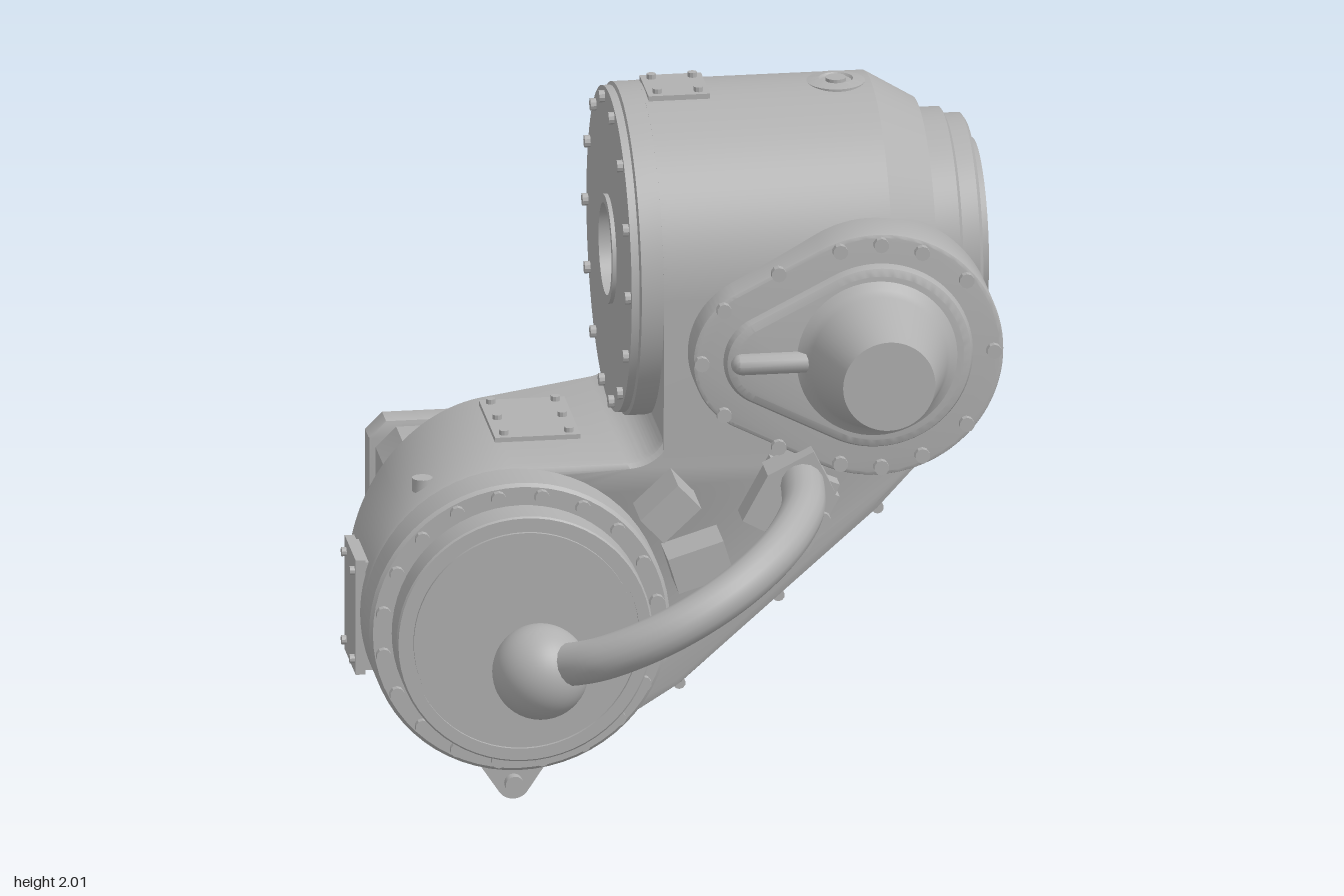
import * as THREE from 'three';
import { toCreasedNormals } from 'three/addons/utils/BufferGeometryUtils.js';

const V = (x, y, z) => new THREE.Vector3(x, y, z);
const metal = new THREE.MeshStandardMaterial({ color: 0xb0b0b0 });
metal.name = 'castGrey';

export function createModel() {
  const root = new THREE.Group();
  root.name = 'robotWrist';

  const add = (name, geo, parent = root, crease = 0.55) => {
    const m = new THREE.Mesh(toCreasedNormals(geo, crease), metal);
    m.name = name;
    parent.add(m);
    return m;
  };
  const aim = (geo, axis) => axis === 'z' ? geo.rotateX(Math.PI / 2) : axis === 'x' ? geo.rotateZ(-Math.PI / 2) : geo;
  const cyl = (name, r, len, axis, p, parent = root, seg = 40) =>
    add(name, aim(new THREE.CylinderGeometry(r, r, len, seg), axis).translate(...p), parent);
  const box = (name, size, p, rotZ = 0) => {
    const m = add(name, new THREE.BoxGeometry(...size));
    m.position.set(...p);
    m.rotation.z = rotZ;
    return m;
  };
  // Turned part: [radius, distance along axis] points
  const lathe = (name, pts, axis, p) =>
    add(name, aim(new THREE.LatheGeometry(pts.map(a => new THREE.Vector2(...a)), 64), axis).translate(...p));
  const polygon = pts => new THREE.Shape(pts.map(a => new THREE.Vector2(...a)));
  const bolt = (x, y, z, parent = root, r = 0.02, h = 0.024) =>
    cyl('bolt', r, h, 'z', [x, y, z + h / 2], parent, 10);
  // Bolted cover lying in a plane given by its origin and two directions
  const cover = (name, pts, bolts, origin, X, Y, depth = 0.014) => {
    const g = new THREE.Group();
    g.name = name;
    add(name + 'Plate', new THREE.ExtrudeGeometry(polygon(pts), { depth: depth + 0.02, bevelEnabled: false }).translate(0, 0, -0.02), g);
    bolts.forEach(b => bolt(b[0], b[1], depth, g, 0.014, 0.014));
    g.matrix.makeBasis(X, Y, X.clone().cross(Y)).setPosition(origin);
    g.matrix.decompose(g.position, g.quaternion, g.scale);
    root.add(g);
  };
  const rect = (x0, y0, x1, y1) => [[x0, y0], [x1, y0], [x1, y1], [x0, y1]];

  // Arm casting: outline with a round motor well, back face sloping away
  const C = [-0.49, 0.57];
  const backZ = (x, y) => -0.326 - 0.336 * y + 0.42 * Math.max(0, -0.12 - x);
  const arm = new THREE.Shape();
  arm.absarc(C[0], C[1], 0.44, Math.PI / 2, Math.PI * 298 / 180, false);
  [[-0.13, 0.24], [0, 0.32], [0.58, 0.83], [0.7, 0.96], [0.71, 1.1], [-0.03, 1.14]].forEach(p => arm.lineTo(...p));
  arm.quadraticCurveTo(-0.05, 1.01, -0.16, 1.01);
  arm.lineTo(-0.3, 1.01);
  const well = new THREE.Path();
  well.absarc(C[0], C[1], 0.385, 0, Math.PI * 2, true);
  arm.holes.push(well);
  const armGeo = new THREE.ExtrudeGeometry(arm, {
    depth: 1, bevelThickness: 0.04, bevelSize: 0.02, bevelOffset: -0.02, bevelSegments: 2, curveSegments: 40,
  });
  const ap = armGeo.attributes.position;
  for (let i = 0; i < ap.count; i++) {
    const t = (ap.getZ(i) + 0.04) / 1.08, b = backZ(ap.getX(i), ap.getY(i));
    ap.setZ(i, b + (0.15 - b) * t);
  }
  add('armCasting', armGeo);

  // Head casting: round top, sloping back, tapered at the output end
  const head = new THREE.Shape();
  head.moveTo(-0.155, 1.02);
  head.lineTo(0.669, 1.02);
  head.absarc(0.32, 1.505, 0.485, -0.325, Math.PI, false);
  const bore = new THREE.Path();
  bore.absarc(0.32, 1.505, 0.14, 0, Math.PI * 2, true);
  head.holes.push(bore);
  const headGeo = new THREE.ExtrudeGeometry(head, { depth: 1, steps: 2, bevelEnabled: false, curveSegments: 40 });
  const hp = headGeo.attributes.position;
  for (let i = 0; i < hp.count; i++) {
    const x = hp.getX(i) - 0.32, y = hp.getY(i) - 1.505, z = hp.getZ(i);
    const k = z > 0.9 && Math.hypot(x, y) > 0.2 ? 0.83 : 1;
    hp.setXYZ(i, 0.32 + x * k, 1.505 + y * k, z < 0.1 ? -0.05 : z < 0.9 ? 0.62 : 0.76);
  }
  add('headCasting', headGeo.rotateY(Math.PI / 2), root, 0.3);

  // Head end cap and stepped output flange, both open along the bore
  const H = [0, 1.505, -0.32];
  lathe('headEndCap', [[0.135, -0.155], [0.16, -0.155], [0.16, -0.143], [0.475, -0.143], [0.475, -0.12], [0.485, -0.115],
    [0.485, -0.04], [0.135, -0.04], [0.135, -0.155]], 'x', H);
  lathe('outputFlange', [[0.135, 0.6], [0.37, 0.7], [0.37, 0.835], [0.35, 0.845], [0.35, 0.895], [0.335, 0.905], [0.285, 0.905],
    [0.275, 0.91], [0.275, 0.93], [0.135, 0.93], [0.135, 0.6]], 'x', H);
  for (let i = 0; i < 14; i++) {
    const a = i / 14 * Math.PI * 2;
    cyl('endCapBolt', 0.018, 0.02, 'x', [-0.15, 1.505 + 0.445 * Math.sin(a), -0.32 + 0.445 * Math.cos(a)], root, 10);
  }

  // Pear-shaped gear cover on the front with its cone
  const pear = s => {
    const sh = new THREE.Shape(), a = Math.PI * 117 / 180;
    sh.absarc(0.56, 1.345, 0.37 - s, -a, a, false);
    sh.absarc(0.25, 1.345, 0.23 - s, a, Math.PI * 2 - a, false);
    return sh;
  };
  const slab = (name, shape, z0, z1, bev) => add(name, new THREE.ExtrudeGeometry(shape, {
    depth: z1 - z0 - bev, bevelThickness: bev, bevelSize: bev, bevelOffset: -bev, bevelSegments: 2, curveSegments: 32,
  }).translate(0, 0, z0));
  slab('gearCover', pear(0), 0.07, 0.265, 0.012);
  slab('gearCoverRaisedFace', pear(0.09), 0.2, 0.295, 0.03);
  lathe('gearCone', [[0.27, 0.27], [0.235, 0.295], [0.212, 0.31], [0.2, 0.335], [0.135, 0.55], [0, 0.55]], 'z', [0.555, 1.345, 0]);
  const rib = new THREE.CapsuleGeometry(0.032, 0.22, 6, 12).rotateZ(Math.PI / 2).translate(0.27, 1.345, 0.295);
  add('gearCoverRib', rib);
  [[0.045, 0], [0.11, 0.16], [0.27, 0.265], [0.45, 0.325], [0.57, 0.34], [0.69, 0.31], [0.82, 0.22], [0.9, 0]].forEach(([x, d]) =>
    [...new Set([d, -d])].forEach(s => bolt(x, 1.345 + s, 0.262, root, 0.022)));

  // Lower joint flange, front ring and bolt circle
  lathe('lowerJointFlange', [[0, 0], [0.375, 0], [0.375, 0.1], [0.435, 0.1], [0.435, 0.155], [0.44, 0.16], [0.44, 0.285], [0.43, 0.295],
    [0.375, 0.295], [0.375, 0.395], [0.37, 0.4], [0.335, 0.4], [0.335, 0.39], [0.325, 0.39], [0.325, 0.4], [0, 0.4]], 'z', [...C, 0]);
  for (let i = 0; i < 20; i++) {
    const a = (i + 0.5) / 20 * Math.PI * 2;
    bolt(C[0] + 0.405 * Math.cos(a), C[1] + 0.405 * Math.sin(a), 0.292, root, 0.022);
  }

  // Lug under the joint
  const lug = new THREE.Shape();
  lug.moveTo(-0.38, 0.16);
  lug.lineTo(-0.6, 0.16);
  lug.lineTo(-0.6, 0.125);
  lug.absarc(-0.49, 0.05, 0.05, Math.PI * 1.2, Math.PI * 1.8, false);
  lug.lineTo(-0.38, 0.125);
  add('mountingLug', new THREE.ExtrudeGeometry(lug, { depth: 0.045, bevelEnabled: false }).translate(0, 0, 0.115));
  cyl('lugPin', 0.027, 0.09, 'z', [-0.49, 0.05, 0.145], root, 16);

  // Bolted covers
  const X = V(1, 0, 0), back = V(0, 0, -1);
  cover('lowerTopCover', rect(-0.51, 0.08, -0.26, 0.42), [-0.48, -0.29].flatMap(x => [0.11, 0.25, 0.39].map(v => [x, v])), V(0, 1.01, 0), X, back);
  cover('headTopCover', rect(-0.04, 0.23, 0.14, 0.42), [-0.01, 0.11].flatMap(x => [0.26, 0.39].map(v => [x, v])), V(0, 1.985, 0), X, back, 0.012);
  cover('undersideCover', [[0.03, 0], [0.03, -0.41], [0.75, -0.51], [0.75, 0.04]].reverse(),
    [[0.06, -0.03], [0.06, -0.37], [0.39, 0], [0.39, -0.42], [0.72, 0.01], [0.72, -0.23], [0.72, -0.47]],
    V(0, 0.32, 0), V(0.58, 0.51, 0).normalize(), V(0, 0, 1));
  cover('backCover', [[0.04, 0.36], [-0.46, 0.36], [-0.46, -0.15], [-0.3, -0.27], [-0.02, -0.27]],
    [[0.01, 0.32], [-0.43, 0.32], [-0.43, -0.12], [-0.29, -0.24], [-0.04, -0.24], [-0.01, 0.02], [-0.43, 0.1]],
    V(0, 1, -0.662), V(-1, 0, 0), V(0, 0.948, -0.318).normalize(), 0.02);
  cover('sideCover', rect(-0.13, 0.38, 0.1, 0.73), [-0.1, 0.07].flatMap(z => [0.42, 0.69].map(y => [z, y])),
    V(-0.935, 0, 0), V(0, 0, 1), V(0, 1, 0), 0.008);
  box('sideCoverPad', [0.1, 0.33, 0.21], [-0.89, 0.555, -0.015]);
  lathe('headFillerPlug', [[0.085, 1.96], [0.085, 1.99], [0.05, 1.997], [0.045, 1.99], [0.03, 1.99], [0.03, 2], [0, 2]], 'y', [0.52, 0, -0.32]);
  cyl('bodyPlug', 0.03, 0.04, 'y', [-0.74, 0.935, 0.04], root, 16);
  cyl('headRearPlug', 0.035, 0.04, 'z', [0.56, 1.38, -0.8], root, 16);

  // Motor with flanges and encoder drum
  const square = (h, c) => polygon([[-h + c, -h], [h - c, -h], [h, -h + c], [h, h - c], [h - c, h], [-h + c, h], [-h, h - c], [-h, -h + c]]
    .map(([x, y]) => [C[0] + x, C[1] + y]));
  slab('motorBody', square(0.28, 0.06), -0.74, 0.02, 0.005);
  slab('motorEndPlate', square(0.3, 0.05), -0.8, -0.72, 0.01);
  slab('motorFrontPlate', square(0.3, 0.08), -0.2, -0.1, 0.01);
  [-1, 1].forEach(i => [-1, 1].forEach(j => cyl('motorScrew', 0.025, 0.02, 'z', [C[0] + 0.24 * i, C[1] + 0.24 * j, -0.807], root, 10)));
  cyl('encoderDrum', 0.238, 0.17, 'z', [...C, -0.865]);
  cyl('encoderCap', 0.08, 0.02, 'z', [...C, -0.953]);
  box('encoderBase', [0.28, 0.14, 0.15], [-0.49, 0.34, -0.87]);

  // Plug connectors under the motor
  [[-0.72, 0.21], [-0.86, 0.13]].forEach(([z, len]) => {
    cyl('connectorNeck', 0.05, 0.13, 'y', [-0.49, 0.22, z], root, 16);
    box('connectorBlock', [0.1, 0.12, 0.1], [-0.49, 0.16, z]);
    cyl('connectorPlug', 0.048, len, 'z', [-0.49, 0.145, z + len / 2 - 0.04], root, 16);
  });

  // Cable and its gland on the sloping back
  const tube = (name, pts, r, n = 60) =>
    add(name, new THREE.TubeGeometry(new THREE.CatmullRomCurve3(pts.map(p => V(...p))), n, r, 16));
  tube('cableGland', [[0.12, 0.71, -0.54], [0.12, 0.68, -0.63], [0.12, 0.65, -0.73]], 0.05, 4);
  const glandEnd = cyl('cableGlandEnd', 0.05, 0.01, 'z', [0, 0, 0], root, 16);
  glandEnd.position.set(0.12, 0.65, -0.73);
  glandEnd.rotation.x = -0.3;
  tube('cable', [[0.12, 0.66, -0.7], [0.12, 0.62, -0.77], [0.1, 0.54, -0.78], [0, 0.4, -0.65], [-0.13, 0.25, -0.47],
    [-0.28, 0.16, -0.46], [-0.43, 0.145, -0.52], [-0.49, 0.145, -0.6]], 0.027);

  // Curved handle with ball end
  const path = [[0.335, 0.24], [0.33, 0.36], [0.3, 0.53], [0.2, 0.72], [0.04, 0.855], [-0.14, 0.9], [-0.32, 0.85], [-0.47, 0.7]];
  tube('handle', path.map(([x, z]) => [x, 0.575 + (x + 0.49) * 0.488, z]), 0.064, 80);
  add('handleBall', new THREE.SphereGeometry(0.14, 40, 28).translate(-0.485, 0.57, 0.69));

  // Handle bracket, clamp and stop blocks
  box('handleBracket', [0.22, 0.19, 0.12], [0.31, 0.88, 0.19], -0.5);
  box('handleClamp', [0.15, 0.14, 0.12], [0.33, 0.98, 0.26], 0.46);
  box('clampEar', [0.06, 0.13, 0.06], [0.395, 0.91, 0.25], -0.4);
  bolt(0.39, 0.85, 0.24, root, 0.032, 0.06);
  box('stopBlock', [0.15, 0.1, 0.18], [-0.05, 0.9, 0.22], 0.75);
  box('stopBlock', [0.17, 0.11, 0.17], [0.04, 0.73, 0.215], 0.3);

  // Screws along the lower edge of the arm
  [[0, 0.32], [0.29, 0.575], [0.58, 0.83]].forEach(([x, y]) => cyl('edgeScrew', 0.018, 0.04, 'z', [x, y, 0.11], root, 10));

  return root;
}
